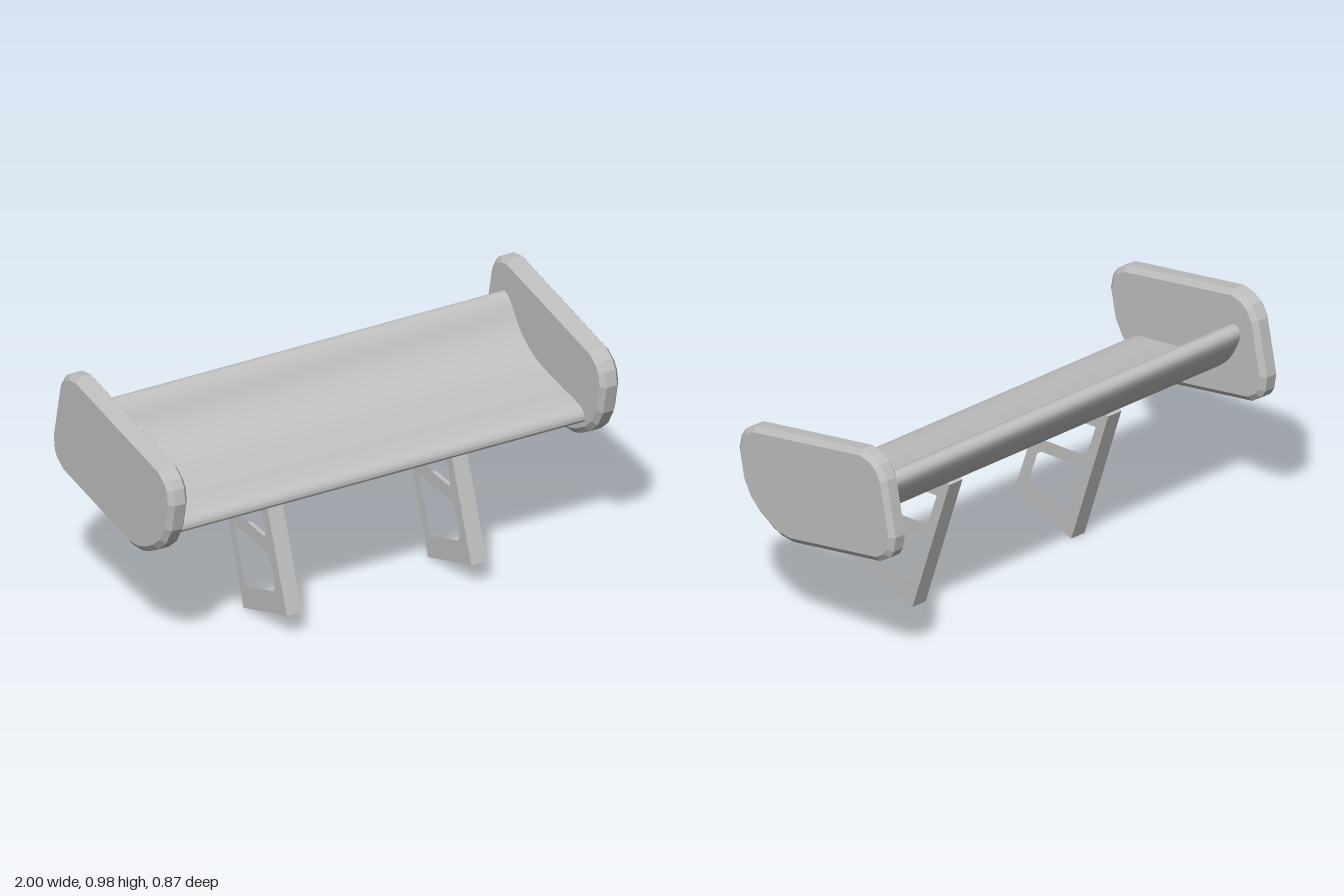
import * as THREE from 'three';
import { toCreasedNormals } from 'three/addons/utils/BufferGeometryUtils.js';

const vecs = (pts) => pts.map(([z, y]) => new THREE.Vector2(z, y));

// Extrudes a side profile given as [z, y] points along x, centred on x = 0
function sideExtrude(pts, width, holes = [], bevel = 0, bevelDepth = 0) {
  const shape = new THREE.Shape(vecs(pts));
  for (const hole of holes) shape.holes.push(new THREE.Path(vecs(hole)));
  const depth = width - 2 * bevelDepth;
  const geometry = new THREE.ExtrudeGeometry(shape, {
    depth, bevelEnabled: bevel > 0, bevelSize: bevel, bevelOffset: -bevel,
    bevelThickness: bevelDepth, bevelSegments: 1,
  });
  return geometry.translate(0, 0, -depth / 2).rotateY(-Math.PI / 2);
}

export function createModel() {
  const group = new THREE.Group();
  const grey = new THREE.MeshStandardMaterial({ color: 0xc0c0c0 });
  grey.name = 'light grey';

  const add = (name, geometry, x = 0) => {
    const mesh = new THREE.Mesh(geometry, grey);
    mesh.name = name;
    mesh.position.x = x;
    group.add(mesh);
  };

  // Wing blade: concave on top, swept up to a rounded trailing edge
  const section = new THREE.CatmullRomCurve3([
    [0.308, 0.55], [0.295, 0.58], [0.26, 0.595], [0.12, 0.62], [-0.02, 0.65], [-0.1, 0.685],
    [-0.17, 0.745], [-0.22, 0.815], [-0.25, 0.842], [-0.28, 0.846], [-0.301, 0.82],
    [-0.285, 0.765], [-0.23, 0.68], [-0.13, 0.605], [0, 0.56], [0.14, 0.537], [0.27, 0.53], [0.298, 0.535],
  ].map(([z, y]) => new THREE.Vector3(z, y, 0)), true);
  const sectionPoints = section.getPoints(72).slice(0, -1).map((p) => [p.x, p.y]);
  add('wing', toCreasedNormals(sideExtrude(sectionPoints, 1.86), 0.7));

  // End plates with bevelled rims
  const plate = sideExtrude([
    [0.435, 0.73], [0.423, 0.79], [0.4, 0.825], [0.35, 0.858],
    [-0.25, 0.987], [-0.31, 0.977], [-0.347, 0.955], [-0.383, 0.9],
    [-0.431, 0.675], [-0.42, 0.612], [-0.4, 0.58], [-0.347, 0.545],
    [0.135, 0.442], [0.2, 0.446], [0.25, 0.463], [0.315, 0.498], [0.37, 0.545], [0.41, 0.613],
  ], 0.083, [], 0.022, 0.018);

  // Struts with an upper and a lower cut-out
  const strut = sideExtrude(
    [[0.367, 0.1], [0.055, 0.003], [-0.15, 0.602], [-0.1, 0.62], [0.2, 0.57]],
    0.068,
    [
      [[0.283, 0.185], [0.27, 0.163], [0.09, 0.105], [0.064, 0.118],
        [-0.006, 0.308], [0, 0.328], [0.22, 0.31], [0.243, 0.295]],
      [[0.217, 0.382], [0.202, 0.366], [-0.01, 0.385], [-0.035, 0.405], [-0.08, 0.53], [0.175, 0.505]],
    ],
  );

  for (const [side, label] of [[1, 'left'], [-1, 'right']]) {
    add(`${label} end plate`, plate, side * 0.9585);
    add(`${label} strut`, strut, side * 0.41);
  }
  return group;
}
